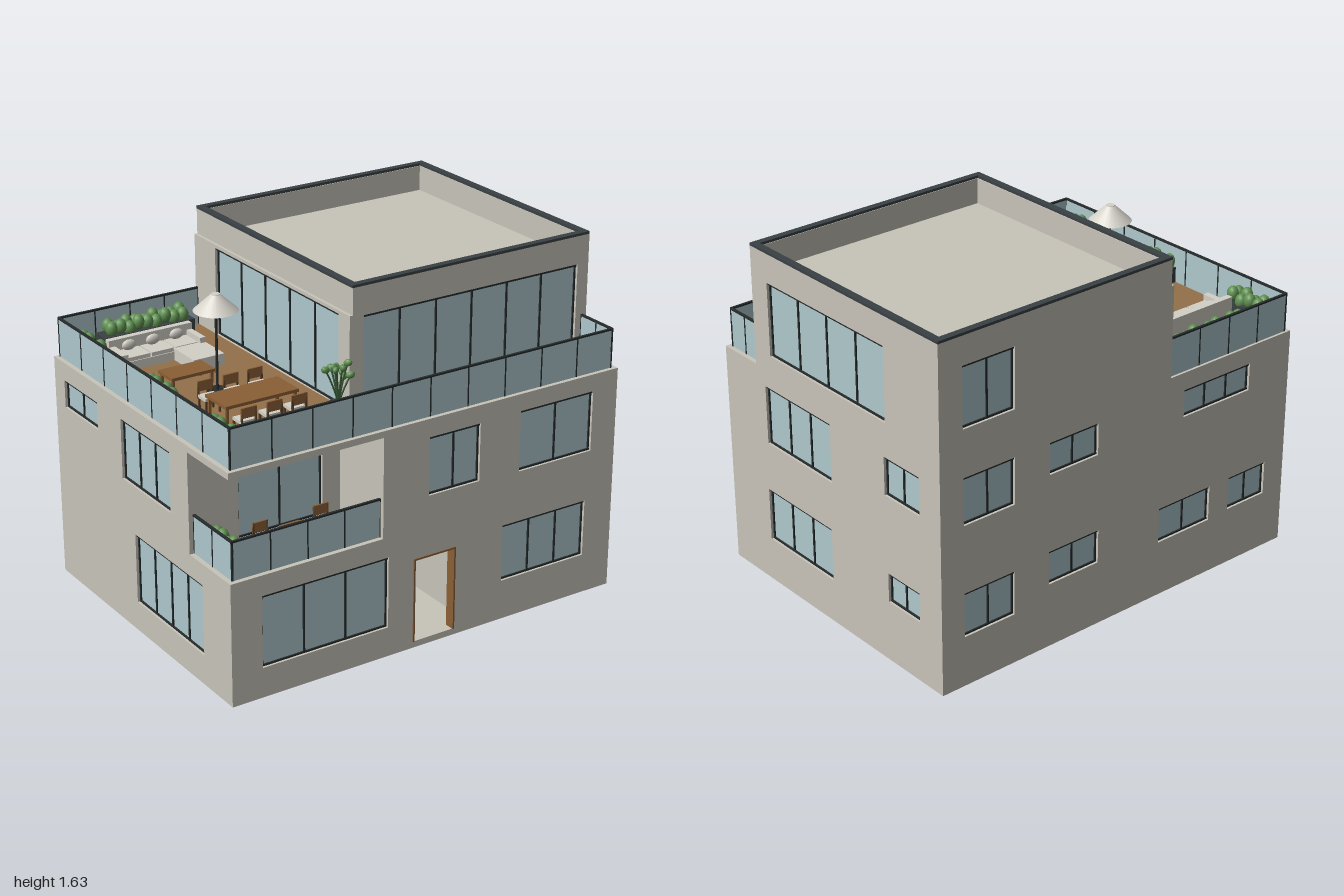
import * as THREE from 'three';

const mat = (name, color, side = THREE.FrontSide) => {
  const m = new THREE.MeshStandardMaterial({ color, side });
  m.name = name;
  return m;
};
const M = {
  wall: mat('plaster', 0xc8c4ba),
  glass: mat('glass', 0xaec8cc),
  frame: mat('darkFrame', 0x262b2c),
  cap: mat('slateCap', 0x3a4144),
  deck: mat('deckWood', 0x94704a),
  wood: mat('furnitureWood', 0x8a5f36),
  door: mat('darkWood', 0x5f4428),
  leaf: mat('foliage', 0x5f9050),
  stem: mat('stem', 0x3b5c38),
  cream: mat('creamFabric', 0xd4d1c8, THREE.DoubleSide),
};

function mesh(parent, name, geometry, material, x = 0, y = 0, z = 0) {
  const m = new THREE.Mesh(geometry, material);
  m.name = name;
  m.position.set(x, y, z);
  parent.add(m);
  return m;
}
function group(parent, name) {
  const g = new THREE.Group();
  g.name = name;
  parent.add(g);
  return g;
}
// Box given by its limits on each axis
const box = (parent, name, material, x0, x1, y0, y1, z0, z1) =>
  mesh(parent, name, new THREE.BoxGeometry(x1 - x0, y1 - y0, z1 - z0), material,
    (x0 + x1) / 2, (y0 + y1) / 2, (z0 + z1) / 2);

function rectPath(P, x0, x1, y0, y1) {
  const p = new P();
  p.moveTo(x0, y0); p.lineTo(x1, y0); p.lineTo(x1, y1); p.lineTo(x0, y1); p.closePath();
  return p;
}

// Wall facing `turn`, at distance `out`; openings are [u0, u1, y0, y1, panes], 0 panes leaves a hole
function facade(parent, name, turn, out, u0, u1, y0, y1, openings = []) {
  const T = 0.035, g = group(parent, name);
  g.rotation.y = turn;
  const shape = rectPath(THREE.Shape, u0, u1, y0, y1);
  for (const [a, b, c, d] of openings) shape.holes.push(rectPath(THREE.Path, a, b, c, d));
  mesh(g, name + 'Panel', new THREE.ExtrudeGeometry(shape, { depth: T, bevelEnabled: false }), M.wall, 0, 0, out - T);
  for (const [a, b, c, d, n] of openings) {
    if (!n) continue;
    const w = group(g, 'window'), z = out - 0.018, f = 0.008;
    box(w, 'pane', M.glass, a, b, c, d, z - 0.006, z);
    for (let i = 0; i <= n; i++) {
      const u = a + f / 2 + (b - a - f) * i / n;
      box(w, 'mullion', M.frame, u - f / 2, u + f / 2, c, d, z - 0.008, z + 0.006);
    }
    box(w, 'sill', M.frame, a, b, c, c + f, z - 0.008, z + 0.007);
    box(w, 'head', M.frame, a, b, d - 0.011, d, z - 0.008, z + 0.012);
  }
}
const FRONT = 0, RIGHT = Math.PI / 2, BACK = Math.PI, LEFT = -Math.PI / 2;

// Glass balustrade between two points
function railing(parent, name, ax, az, bx, bz, y0, y1, n) {
  const g = group(parent, name), L = Math.hypot(bx - ax, bz - az);
  g.position.set(ax, 0, az);
  g.rotation.y = Math.atan2(az - bz, bx - ax);
  box(g, 'railGlass', M.glass, 0, L, y0, y1 - 0.006, -0.003, 0.003);
  box(g, 'handrail', M.frame, 0, L, y1 - 0.008, y1, -0.006, 0.006);
  for (let i = 0; i <= n; i++)
    box(g, 'railPost', M.frame, L * i / n - 0.003, L * i / n + 0.003, y0, y1, -0.005, 0.005);
}

// Planter box filled with two rows of round shrubs
function planter(parent, x0, x1, z0, z1, y, rim = 0) {
  const g = group(parent, 'planter'), alongX = x1 - x0 > z1 - z0;
  box(g, 'trough', M.cap, x0 - rim, x1 + rim, y, y + 0.075, z0 - rim / 3, z1 + rim / 3);
  const len = Math.max(x1 - x0, z1 - z0), n = Math.round(len / 0.048);
  const ball = new THREE.SphereGeometry(0.028, 12, 8);
  for (let i = 0; i < n; i++) for (const s of [0.28, 0.72]) {
    const t = (i + 0.5) / n;
    const x = x0 + (x1 - x0) * (alongX ? t : s), z = z0 + (z1 - z0) * (alongX ? s : t);
    const h = y + 0.1 + 0.012 * Math.sin(i * 2.3 + s * 9);
    mesh(g, 'shrub', ball, M.leaf, x, h, z).scale.y = 1.3;
  }
}

// Potted plant with leaves on splayed stems
function pottedPlant(parent, x, y, z, potMaterial, h) {
  const g = group(parent, 'pottedPlant');
  g.position.set(x, y, z);
  mesh(g, 'pot', new THREE.CylinderGeometry(0.042, 0.034, 0.09, 16), potMaterial, 0, 0.045, 0);
  const leafGeo = new THREE.SphereGeometry(0.017, 10, 8);
  for (let i = 0; i < 11; i++) {
    const a = i * 2.4, r = 0.028 + 0.034 * ((i * 5 % 11) / 10), top = h * (0.7 + 0.25 * ((i * 7 % 11) / 10));
    const tip = new THREE.Vector3(Math.cos(a) * r, top, Math.sin(a) * r);
    const curve = new THREE.QuadraticBezierCurve3(new THREE.Vector3(0, 0.08, 0),
      new THREE.Vector3(tip.x * 0.3, top * 0.65, tip.z * 0.3), tip);
    mesh(g, 'stem', new THREE.TubeGeometry(curve, 5, 0.004, 5), M.stem);
    const leaf = mesh(g, 'leaf', leafGeo, M.leaf, tip.x, tip.y, tip.z);
    leaf.scale.set(1.15, 0.9, 0.75);
    leaf.rotation.set(0, -a, 0.4);
  }
}

function table(parent, name, x0, x1, z0, z1, y, h) {
  const g = group(parent, name);
  box(g, 'tableTop', M.wood, x0, x1, y + h - 0.014, y + h, z0, z1);
  for (const x of [x0 + 0.012, x1 - 0.012]) for (const z of [z0 + 0.012, z1 - 0.012])
    box(g, 'tableLeg', M.wood, x - 0.006, x + 0.006, y, y + h - 0.014, z - 0.006, z + 0.006);
}

// Chair with its back on the side given by s (+1 or -1 in z)
function chair(parent, x, y, z, s) {
  const g = group(parent, 'chair');
  g.position.set(x, y, z);
  for (const cx of [-0.033, 0.033]) for (const cz of [-0.028, 0.028])
    box(g, 'chairLeg', M.door, cx - 0.004, cx + 0.004, 0, 0.06, cz - 0.004, cz + 0.004);
  box(g, 'seat', M.cream, -0.037, 0.037, 0.058, 0.072, -0.032, 0.032);
  box(g, 'chairBack', M.wood, -0.037, 0.037, 0.085, 0.13, s * 0.034 - 0.004, s * 0.034 + 0.004);
  for (const cx of [-0.033, 0.033])
    box(g, 'backPost', M.door, cx - 0.004, cx + 0.004, 0.05, 0.13, s * 0.034 - 0.004, s * 0.034 + 0.004);
}

export function createModel() {
  const root = new THREE.Group();
  root.name = 'house';
  const F = 0.745, B = 0.75, P = 0.512, Y1 = 0.57, Y2 = 1.035, D = 1.065;

  // Ground floor
  const ground = group(root, 'groundFloor');
  box(ground, 'baseSlab', M.wall, -0.99, 0.99, 0, 0.03, -0.74, 0.735);
  facade(ground, 'groundFront', FRONT, F, -1, 1, 0, Y1,
    [[-0.85, -0.22, 0.14, 0.475, 3], [-0.09, 0.13, 0.03, 0.43, 0], [0.385, 0.845, 0.19, 0.46, 3]]);
  facade(ground, 'groundRight', RIGHT, 1, -F, B, 0, Y1, [[-0.465, 0, 0.21, 0.465, 3], [0.395, 0.605, 0.29, 0.43, 2]]);
  facade(ground, 'groundBack', BACK, B, -1, 1, 0, Y1, [[-0.88, -0.61, 0.24, 0.45, 2],
    [-0.42, -0.14, 0.31, 0.47, 2], [0.22, 0.53, 0.27, 0.44, 2], [0.65, 0.88, 0.28, 0.44, 2]]);
  facade(ground, 'groundLeft', LEFT, 1, -B, F, 0, Y1, [[-0.05, 0.52, 0.14, 0.47, 4]]);

  // Entrance hall behind the open door
  const hall = group(root, 'entrance');
  box(hall, 'hallLeftWall', M.wall, -0.2, -0.17, 0.03, 0.46, 0.1, 0.71);
  box(hall, 'hallRightWall', M.wall, 0.22, 0.25, 0.03, 0.46, 0.1, 0.71);
  box(hall, 'hallBackWall', M.wall, -0.2, 0.25, 0.03, 0.46, 0.08, 0.1);
  box(hall, 'hallCeiling', M.wall, -0.2, 0.25, 0.46, 0.48, 0.08, 0.71);
  for (const x of [-0.09, 0.122]) box(hall, 'doorJamb', M.wood, x, x + 0.008, 0.03, 0.43, 0.7, 0.75);
  box(hall, 'doorHead', M.wood, -0.09, 0.13, 0.422, 0.43, 0.7, 0.75);
  box(hall, 'doorLeaf', M.door, -0.084, -0.074, 0.032, 0.42, 0.5, 0.705);
  box(hall, 'doorHandle', M.frame, -0.074, -0.064, 0.2, 0.215, 0.515, 0.53);
  for (const x of [0.094, 0.128]) box(hall, 'rackPost', M.door, x, x + 0.006, 0.03, 0.3, 0.4, 0.44);
  for (let i = 0; i < 9; i++) box(hall, 'rackShelf', M.wood, 0.1, 0.128, 0.04 + i * 0.03, 0.052 + i * 0.03, 0.4, 0.44);
  pottedPlant(hall, 0.025, 0.03, 0.25, M.cream, 0.3);

  // Middle floor with a recessed balcony at the front
  const middle = group(root, 'middleFloor');
  box(middle, 'middleSlab', M.wall, -0.995, 0.995, Y1 - 0.02, Y1, -0.745, 0.74);
  facade(middle, 'middleFront', FRONT, F, -0.25, 1, Y1, Y2, [[-0.015, 0.25, 0.71, 0.98, 2], [0.465, 0.865, 0.7, 0.985, 2]]);
  facade(middle, 'recessBack', FRONT, 0.42, -1, -0.24, Y1, Y2, [[-0.76, -0.34, 0.575, 0.96, 2]]);
  facade(middle, 'recessSide', LEFT, 0.25, 0.4, F, Y1, Y2);
  facade(middle, 'middleRight', RIGHT, 1, -F, B, Y1, Y2, [[-0.45, 0.015, 0.7, 0.98, 3], [0.385, 0.615, 0.8, 0.98, 2]]);
  facade(middle, 'middleBack', BACK, B, -1, 1, Y1, Y2,
    [[-0.88, -0.61, 0.77, 0.99, 2], [-0.42, -0.15, 0.84, 0.99, 2], [0.35, 0.75, 0.85, 0.98, 3]]);
  facade(middle, 'middleLeft', LEFT, 1, -B, 0.42, Y1, Y2, [[-0.66, -0.355, 0.85, 0.98, 2], [-0.145, 0.27, 0.7, 0.98, 3]]);
  railing(middle, 'balconyFrontRail', -0.975, 0.72, -0.25, 0.72, Y1, 0.75, 4);
  railing(middle, 'balconySideRail', -0.975, 0.42, -0.975, 0.72, Y1, 0.75, 2);
  planter(middle, -0.965, -0.885, 0.47, 0.69, Y1);
  table(middle, 'balconyTable', -0.63, -0.53, 0.53, 0.62, Y1, 0.08);
  for (const x of [-0.73, -0.43]) chair(middle, x, Y1, 0.575, -1);

  // Terrace deck and balustrades
  const terrace = group(root, 'terrace');
  box(terrace, 'terraceSlab', M.wall, -1, 1, Y2, D, -B, F);
  box(terrace, 'deckBoards', M.deck, -0.97, -0.26, D, D + 0.005, -0.73, 0.72);
  box(terrace, 'frontDeckBoards', M.deck, -0.235, 0.97, D, D + 0.005, 0.5, 0.72);
  railing(terrace, 'frontRail', -0.978, 0.722, 0.975, 0.722, D, 1.25, 10);
  railing(terrace, 'leftRail', -0.975, -0.735, -0.975, 0.722, D, 1.25, 7);
  railing(terrace, 'backRail', -0.975, -0.735, -0.265, -0.735, D, 1.25, 4);
  railing(terrace, 'rightRail', 0.975, 0.722, 0.975, P, D, 1.25, 2);

  // Top floor, with window walls towards the terrace
  const top = group(root, 'topFloor');
  facade(top, 'topFront', FRONT, P, -0.25, 1, D, 1.62, [[-0.195, 0.94, 1.07, 1.49, 6]]);
  facade(top, 'topRight', RIGHT, 1, -P, B, D, 1.62, [[-0.4, 0.4, 1.14, 1.485, 4]]);
  facade(top, 'topBack', BACK, B, -1, 0.25, D, 1.62, [[-0.88, -0.61, 1.21, 1.49, 2]]);
  facade(top, 'topLeft', LEFT, 0.265, -B, P, D, 1.5, [[-0.57, 0.43, 1.07, 1.485, 5]]);
  facade(top, 'leftParapet', LEFT, 0.25, -B, P, 1.49, 1.62);
  box(top, 'roof', M.wall, -0.24, 0.99, 1.48, 1.5, -0.74, 0.5);
  const cap = rectPath(THREE.Shape, -0.252, 1, -P, B);
  cap.holes.push(rectPath(THREE.Path, -0.22, 0.968, -P + 0.032, B - 0.032));
  const capMesh = mesh(top, 'parapetCap', new THREE.ExtrudeGeometry(cap, { depth: 0.012, bevelEnabled: false }), M.cap, 0, 1.62, 0);
  capMesh.rotation.x = -Math.PI / 2;

  // Terrace furniture and plants
  const Y = D + 0.005, furn = group(root, 'terraceFurniture');
  for (const [a, b] of [[-0.66, -0.45], [-0.05, 0.17], [0.47, 0.69]]) planter(furn, -0.968, -0.885, a, b, Y);
  planter(furn, -0.78, -0.37, -0.71, -0.635, Y, 0.025);
  pottedPlant(furn, -0.36, Y, 0.57, M.cap, 0.285);

  const sofa = group(furn, 'sofa');
  box(sofa, 'sofaBase', M.cream, -0.86, -0.44, Y + 0.01, Y + 0.05, -0.52, -0.38);
  box(sofa, 'chaise', M.cream, -0.595, -0.44, Y + 0.01, Y + 0.065, -0.5, -0.21);
  box(sofa, 'sofaBack', M.cream, -0.86, -0.44, Y + 0.01, Y + 0.12, -0.52, -0.49);
  box(sofa, 'leftArm', M.cream, -0.86, -0.83, Y + 0.01, Y + 0.09, -0.52, -0.37);
  box(sofa, 'rightArm', M.cream, -0.468, -0.44, Y + 0.01, Y + 0.09, -0.52, -0.37);
  for (let i = 0; i < 3; i++) {
    const x = -0.825 + i * 0.12;
    box(sofa, 'seatCushion', M.cream, x, x + 0.112, Y + 0.05, Y + 0.068, -0.49, -0.385);
    mesh(sofa, 'pillow', new THREE.SphereGeometry(0.035, 12, 8), M.cream, x + 0.056, Y + 0.09, -0.475).scale.set(1, 0.7, 0.4);
  }
  table(furn, 'coffeeTable', -0.78, -0.565, -0.2, -0.08, Y, 0.065);
  table(furn, 'diningTable', -0.8, -0.445, 0.235, 0.4, Y, 0.11);
  for (const x of [-0.745, -0.62, -0.5]) {
    chair(furn, x, Y, 0.175, -1);
    chair(furn, x, Y, 0.455, 1);
  }

  // Parasol
  const parasol = group(furn, 'parasol');
  parasol.position.set(-0.62, 0, 0.03);
  mesh(parasol, 'parasolBase', new THREE.CylinderGeometry(0.045, 0.05, 0.02, 20), M.frame, 0, Y + 0.01, 0);
  mesh(parasol, 'parasolPole', new THREE.CylinderGeometry(0.006, 0.006, 0.44, 10), M.frame, 0, Y + 0.22, 0);
  mesh(parasol, 'canopy', new THREE.CylinderGeometry(0.02, 0.098, 0.072, 24, 1, true), M.cream, 0, 1.486, 0);
  mesh(parasol, 'canopyTop', new THREE.CylinderGeometry(0.02, 0.02, 0.004, 24), M.cream, 0, 1.522, 0);
  return root;
}
